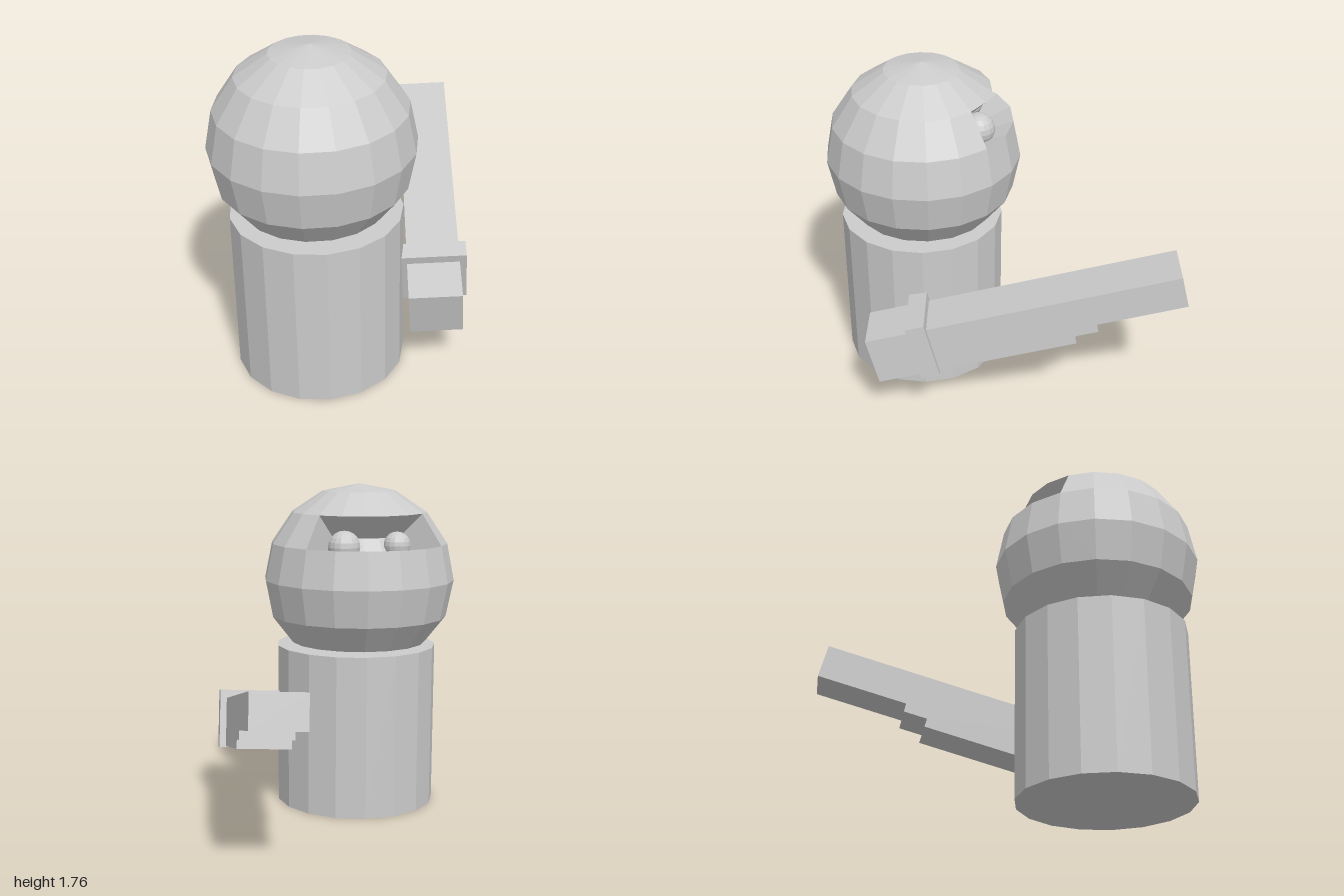
import * as THREE from 'three';

const grey = new THREE.MeshStandardMaterial({ color: 0xcccccc, flatShading: true });
const greyDouble = new THREE.MeshStandardMaterial({ color: 0xcccccc, flatShading: true, side: THREE.DoubleSide });

function add(parent, name, geometry, x, y, z, material = grey) {
  const mesh = new THREE.Mesh(geometry, material);
  mesh.name = name;
  mesh.position.set(x, y, z);
  parent.add(mesh);
  return mesh;
}

// Faceted ball with a flattened underside and a recessed eye opening
function headGeometry() {
  const R = 0.52, sides = 18, inner = 0.66;
  const rings = [];
  for (let i = 0; i < 6; i++) {
    const t = i * Math.PI / 8;
    rings.push([R * Math.sin(t), R * Math.cos(t)]);
  }
  rings.push([0.368, -0.343], [0.2, -0.354], [0, -0.356]);

  const point = (i, j, k = 1) => {
    const a = (10 + 20 * j) * Math.PI / 180;
    const [r, y] = rings[i];
    return [k * r * Math.cos(a), k * y, k * r * Math.sin(a)];
  };
  const positions = [];
  const quad = (a, b, c, d) => positions.push(...a, ...b, ...c, ...a, ...c, ...d);

  const holeRing = 2, holeStart = 8, holeEnd = 13;
  for (let i = 0; i < rings.length - 1; i++) {
    for (let j = 0; j < sides; j++) {
      const hole = i === holeRing && j >= holeStart && j < holeEnd;
      const k = hole ? inner : 1;
      quad(point(i, j + 1, k), point(i + 1, j + 1, k), point(i + 1, j, k), point(i, j, k));
      if (hole) {
        // Upper and lower walls of the opening
        quad(point(i, j), point(i, j + 1), point(i, j + 1, inner), point(i, j, inner));
        quad(point(i + 1, j + 1), point(i + 1, j), point(i + 1, j, inner), point(i + 1, j + 1, inner));
      }
    }
  }
  // End walls of the opening
  for (const j of [holeStart, holeEnd]) {
    quad(point(holeRing, j), point(holeRing, j, inner), point(holeRing + 1, j, inner), point(holeRing + 1, j));
  }
  const g = new THREE.BufferGeometry();
  g.setAttribute('position', new THREE.Float32BufferAttribute(positions, 3));
  g.computeVertexNormals();
  return g;
}

export function createModel() {
  const model = new THREE.Group();
  model.name = 'figure';

  // Body
  add(model, 'body', new THREE.CylinderGeometry(0.438, 0.438, 0.88, 17, 1, false, Math.PI / 17), -0.027, 0.44, 0.48);

  // Head with two eyes set into the opening
  const head = new THREE.Group();
  head.name = 'head';
  head.position.set(-0.045, 1.243, 0.475);
  model.add(head);
  add(head, 'headShell', headGeometry(), 0, 0, 0, greyDouble);
  add(head, 'largeEye', new THREE.SphereGeometry(0.086, 16, 10), -0.115, 0.205, -0.305);
  add(head, 'smallEye', new THREE.SphereGeometry(0.073, 16, 10), -0.285, 0.205, -0.06);

  // Slanted arm: a bar with a stepped underside, origin at its lower end, running to -z
  const arm = new THREE.Group();
  arm.name = 'arm';
  arm.position.set(0.584, 0.509, 0.255);
  arm.rotation.set(0.251, Math.PI / 4, 0.05, 'YXZ');
  model.add(arm);

  const width = 0.272;
  const profile = new THREE.Shape([
    [0, 0], [0, -0.265], [1.065, -0.265], [1.065, -0.22],
    [1.19, -0.22], [1.19, -0.175], [1.665, -0.175], [1.665, 0],
  ].map(([x, y]) => new THREE.Vector2(x, y)));
  const bar = new THREE.ExtrudeGeometry(profile, { depth: width, bevelEnabled: false });
  bar.translate(0, 0, -width / 2).rotateY(Math.PI / 2);
  add(arm, 'armBar', bar, 0, 0, 0);

  // Collar around the arm
  add(arm, 'armCollar', new THREE.BoxGeometry(width + 0.07, 0.315, 0.1), 0, -0.1125, -0.28);

  return model;
}
